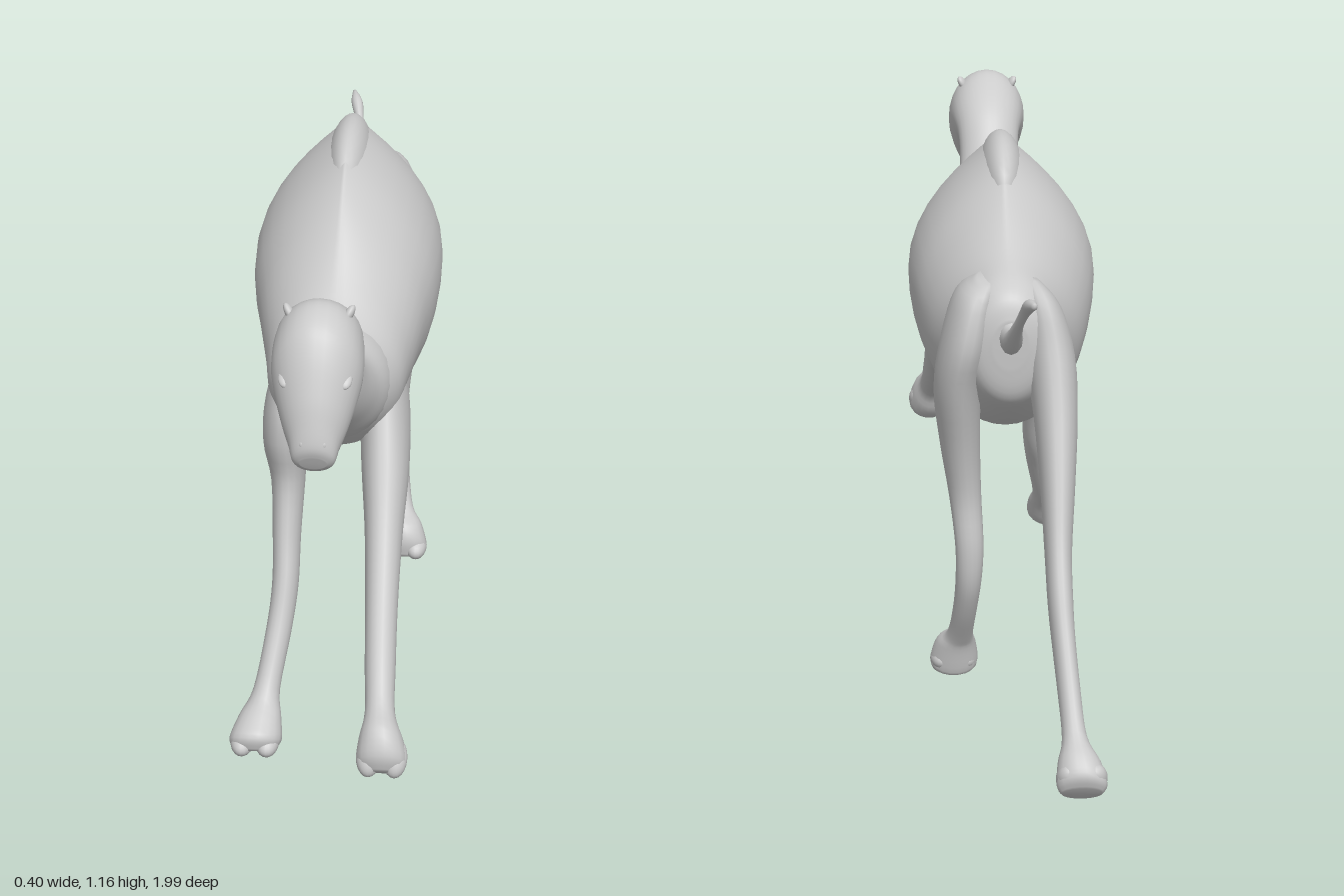
import * as THREE from 'three';

const material = new THREE.MeshStandardMaterial({ color: 0xcccccc, roughness: 0.8 });

const spline = (a, b, c, d, t) =>
  0.5 * (2 * b + (c - a) * t + (2 * a - 5 * b + 4 * c - d) * t * t + (3 * b - a - 3 * c + d) * t * t * t);

// Skin over rings. Each row: [z, y of one edge, z, y of the opposite edge, centre x, half width, taper]
function loft(name, rows, sides = 28, steps = 5) {
  const pos = [], index = [], rings = [];
  const last = rows.length - 1;
  for (let i = 0; i < last; i++) {
    for (let s = 0; s < steps; s++) {
      const row = k => rows[Math.min(last, Math.max(0, k))];
      rings.push([0, 1, 2, 3, 4, 5, 6].map(c =>
        spline(...[i - 1, i, i + 1, i + 2].map(k => row(k)[c] ?? 1), s / steps)));
    }
  }
  rings.push(rows[last]);
  for (const [z1, y1, z2, y2, x, w, p = 1] of rings) {
    for (let j = 0; j < sides; j++) {
      const a = (j / sides) * Math.PI * 2, s = Math.sin(a), c = Math.cos(a);
      const wide = s > 0 ? c * Math.abs(c) ** (p - 1) : c;
      pos.push(x + w * wide, (y1 + y2) / 2 + s * (y1 - y2) / 2, (z1 + z2) / 2 + s * (z1 - z2) / 2);
    }
  }
  const n = rings.length;
  for (let i = 0; i < n - 1; i++) {
    for (let j = 0; j < sides; j++) {
      const a = i * sides + j, b = i * sides + (j + 1) % sides;
      index.push(a, b, a + sides, b, b + sides, a + sides);
    }
  }
  // End caps
  for (const [ring, end] of [[0, 0], [n - 1, 1]]) {
    const [z1, y1, z2, y2, x] = rings[ring], centre = pos.length / 3;
    pos.push(x, (y1 + y2) / 2, (z1 + z2) / 2);
    for (let j = 0; j < sides; j++) {
      const a = ring * sides + j, b = ring * sides + (j + 1) % sides;
      index.push(centre, end ? a : b, end ? b : a);
    }
  }
  // Turn the faces outward if the enclosed volume is negative
  const v = k => new THREE.Vector3().fromArray(pos, index[k] * 3);
  let volume = 0;
  for (let k = 0; k < index.length; k += 3) volume += v(k).dot(v(k + 1).cross(v(k + 2)));
  if (volume < 0) index.reverse();
  const geometry = new THREE.BufferGeometry();
  geometry.setAttribute('position', new THREE.Float32BufferAttribute(pos, 3));
  geometry.setIndex(index);
  geometry.computeVertexNormals();
  const mesh = new THREE.Mesh(geometry, material);
  mesh.name = name;
  return mesh;
}

function blob(name, [x, y, z], [sx, sy, sz], tilt = 0, roll = 0) {
  const mesh = new THREE.Mesh(new THREE.SphereGeometry(1, 20, 14), material);
  mesh.name = name;
  mesh.position.set(x, y, z);
  mesh.scale.set(sx, sy, sz);
  mesh.rotation.set(tilt, 0, roll);
  return mesh;
}

// Leg skin plus a two-toed foot
function leg(name, rows, [x, y, z], tilt) {
  const group = new THREE.Group();
  group.name = name;
  group.add(loft(name + 'Limb', rows, 18, 4));
  for (const s of [-1, 1]) group.add(blob(name + 'Toe', [x + s * 0.026, y, z], [0.025, 0.025, 0.041], tilt));
  return group;
}

export function createModel() {
  const model = new THREE.Group();
  model.name = 'runningCamel';

  // Barrel with a single tapering hump
  model.add(loft('bodyAndHump', [
    [-0.455, 0.88, -0.45, 0.78, 0, 0.035],
    [-0.44, 0.925, -0.435, 0.71, 0, 0.075],
    [-0.40, 0.955, -0.38, 0.66, 0, 0.105],
    [-0.32, 0.99, -0.30, 0.61, 0, 0.135, 1.3],
    [-0.22, 1.06, -0.22, 0.575, 0, 0.167, 1.6],
    [-0.12, 1.135, -0.12, 0.56, 0, 0.19, 2],
    [-0.02, 1.157, 0, 0.55, 0, 0.2, 2.1],
    [0.10, 1.13, 0.10, 0.555, 0, 0.194, 2],
    [0.20, 1.06, 0.20, 0.575, 0, 0.174, 1.7],
    [0.30, 0.955, 0.30, 0.585, 0, 0.152, 1.3],
    [0.38, 0.89, 0.40, 0.61, 0, 0.137, 1.1],
    [0.45, 0.87, 0.48, 0.67, 0, 0.11],
    [0.52, 0.86, 0.545, 0.75, 0, 0.065],
  ], 40));
  model.add(blob('humpCrest', [0, 1.07, -0.02], [0.048, 0.09, 0.165]));

  // Neck curving up into the head and muzzle
  model.add(loft('neckAndHead', [
    [0.30, 0.88, 0.33, 0.63, 0, 0.12],
    [0.40, 0.885, 0.46, 0.655, 0, 0.12],
    [0.48, 0.885, 0.54, 0.72, 0, 0.097],
    [0.55, 0.925, 0.60, 0.785, 0, 0.077],
    [0.59, 0.985, 0.635, 0.86, 0, 0.068],
    [0.635, 1.04, 0.67, 0.92, 0, 0.07],
    [0.70, 1.085, 0.70, 0.925, 0, 0.08],
    [0.76, 1.107, 0.735, 0.90, 0, 0.087],
    [0.82, 1.085, 0.77, 0.875, 0, 0.089],
    [0.855, 1.04, 0.80, 0.85, 0, 0.08],
    [0.885, 0.97, 0.83, 0.825, 0, 0.064],
    [0.90, 0.92, 0.855, 0.808, 0, 0.05],
    [0.91, 0.87, 0.875, 0.803, 0, 0.041],
    [0.905, 0.845, 0.89, 0.815, 0, 0.026],
  ]));

  // Ears, eyes, brows and nostrils
  for (const s of [-1, 1]) {
    model.add(blob('ear', [s * 0.057, 1.078, 0.75], [0.009, 0.02, 0.014], -0.4, -s * 0.5));
    model.add(blob('eye', [s * 0.06, 0.965, 0.838], [0.011, 0.012, 0.02], 0.6));
    model.add(blob('brow', [s * 0.057, 0.985, 0.843], [0.014, 0.009, 0.022], 0.6));
    model.add(blob('nostril', [s * 0.02, 0.873, 0.898], [0.009, 0.012, 0.009]));
  }

  model.add(leg('frontLeftLeg', [
    [0.30, 0.87, 0.12, 0.73, 0.075, 0.04],
    [0.41, 0.745, 0.19, 0.615, 0.097, 0.052],
    [0.50, 0.65, 0.36, 0.52, 0.108, 0.05],
    [0.61, 0.565, 0.55, 0.455, 0.115, 0.039],
    [0.735, 0.46, 0.69, 0.377, 0.12, 0.033],
    [0.84, 0.375, 0.80, 0.30, 0.125, 0.031],
    [0.915, 0.31, 0.88, 0.247, 0.13, 0.03],
    [0.97, 0.285, 0.905, 0.20, 0.135, 0.044],
    [0.995, 0.24, 0.93, 0.172, 0.138, 0.05],
    [0.99, 0.20, 0.95, 0.17, 0.138, 0.035],
  ], [0.138, 0.215, 0.96], 0.9));

  model.add(leg('frontRightLeg', [
    [0.34, 0.86, 0.14, 0.75, -0.075, 0.04],
    [0.44, 0.73, 0.20, 0.64, -0.097, 0.052],
    [0.45, 0.63, 0.28, 0.57, -0.105, 0.047],
    [0.43, 0.53, 0.31, 0.49, -0.10, 0.036],
    [0.455, 0.42, 0.37, 0.38, -0.10, 0.03],
    [0.49, 0.33, 0.42, 0.28, -0.10, 0.028],
    [0.53, 0.24, 0.475, 0.20, -0.11, 0.027],
    [0.595, 0.13, 0.54, 0.10, -0.13, 0.028],
    [0.65, 0.09, 0.57, 0.06, -0.14, 0.044],
    [0.685, 0.065, 0.60, 0.01, -0.147, 0.055],
    [0.68, 0.03, 0.62, 0.01, -0.15, 0.045],
  ], [-0.148, 0.034, 0.648], 0.15));

  model.add(leg('hindLeftLeg', [
    [-0.33, 0.955, -0.40, 0.945, 0.045, 0.02],
    [-0.25, 0.91, -0.445, 0.915, 0.066, 0.044],
    [-0.23, 0.80, -0.465, 0.82, 0.088, 0.054],
    [-0.24, 0.68, -0.44, 0.72, 0.105, 0.05],
    [-0.265, 0.57, -0.395, 0.58, 0.10, 0.042],
    [-0.29, 0.46, -0.37, 0.46, 0.09, 0.034],
    [-0.315, 0.36, -0.375, 0.35, 0.082, 0.03],
    [-0.305, 0.29, -0.365, 0.26, 0.083, 0.028],
    [-0.275, 0.20, -0.33, 0.18, 0.09, 0.026],
    [-0.235, 0.12, -0.28, 0.10, 0.10, 0.028],
    [-0.19, 0.09, -0.265, 0.07, 0.108, 0.042],
    [-0.175, 0.055, -0.25, 0.01, 0.112, 0.052],
    [-0.18, 0.015, -0.24, 0.003, 0.113, 0.045],
  ], [0.113, 0.03, -0.208], 0.15));

  model.add(leg('hindRightLeg', [
    [-0.28, 0.91, -0.37, 0.95, -0.045, 0.02],
    [-0.25, 0.82, -0.435, 0.92, -0.066, 0.044],
    [-0.29, 0.72, -0.47, 0.83, -0.085, 0.052],
    [-0.38, 0.62, -0.515, 0.72, -0.093, 0.045],
    [-0.47, 0.50, -0.575, 0.60, -0.093, 0.036],
    [-0.56, 0.395, -0.645, 0.475, -0.09, 0.028],
    [-0.655, 0.315, -0.71, 0.405, -0.09, 0.026],
    [-0.735, 0.265, -0.775, 0.355, -0.092, 0.024],
    [-0.82, 0.20, -0.855, 0.275, -0.098, 0.023],
    [-0.89, 0.14, -0.925, 0.195, -0.105, 0.025],
    [-0.91, 0.11, -0.975, 0.16, -0.112, 0.042],
    [-0.945, 0.067, -0.998, 0.13, -0.116, 0.05],
    [-0.965, 0.065, -0.992, 0.10, -0.116, 0.04],
  ], [-0.116, 0.107, -0.96], 0.9));

  // Raised tail with a small tuft
  model.add(loft('tail', [
    [-0.42, 0.90, -0.43, 0.80, 0, 0.03],
    [-0.475, 0.875, -0.475, 0.825, -0.003, 0.02],
    [-0.53, 0.913, -0.54, 0.89, -0.012, 0.01],
    [-0.575, 0.955, -0.585, 0.93, -0.022, 0.01],
    [-0.615, 0.982, -0.62, 0.955, -0.03, 0.013],
    [-0.655, 0.985, -0.655, 0.972, -0.038, 0.005],
  ], 12, 4));

  return model;
}
